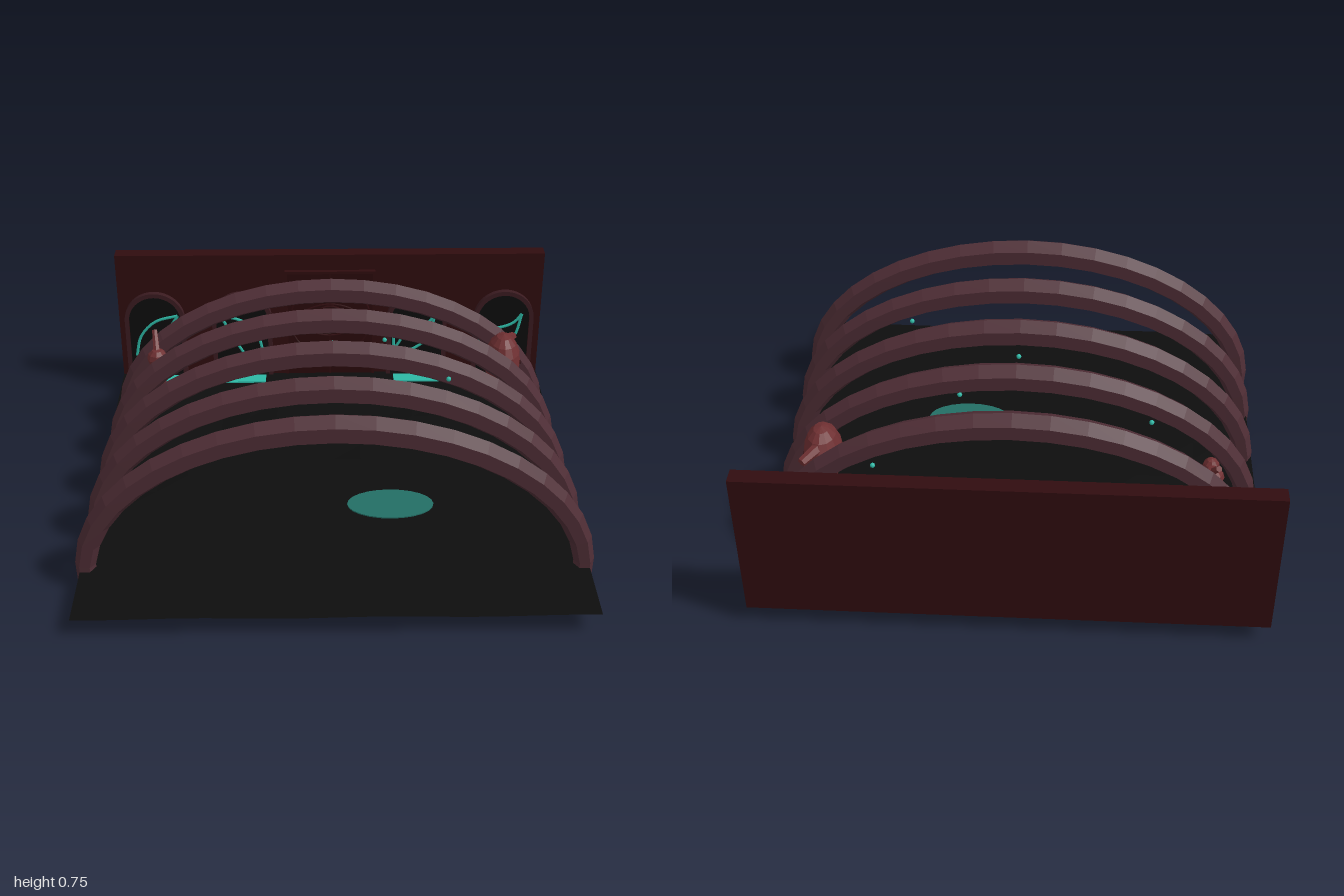
import * as THREE from 'three';

export function createModel() {
  const root = new THREE.Group();
  const mat = (name, color) => {
    const m = new THREE.MeshStandardMaterial({ color });
    m.name = name;
    return m;
  };
  const floorBlack = mat('floor black', 0x0d0d0d);
  floorBlack.side = THREE.DoubleSide;
  const wallRed = mat('wall dark red', 0x300c0f);
  const doorRed = mat('door red', 0x2a090b);
  const boneMauve = mat('rib mauve', 0x4e2d35);
  const frameRed = mat('frame brown', 0x3a1b20);
  const flesh = mat('flesh red', 0x6e2f31);
  const teal = mat('glow teal', 0x2db8a5);
  const pool = mat('pool teal', 0x236e65);

  const add = (name, geo, material, x = 0, y = 0, z = 0, parent = root) => {
    const mesh = new THREE.Mesh(geo, material);
    mesh.name = name;
    mesh.position.set(x, y, z);
    parent.add(mesh);
    return mesh;
  };
  // faceted normals
  const facet = (geo) => {
    const g = geo.index ? geo.toNonIndexed() : geo;
    g.computeVertexNormals();
    return g;
  };
  const v = (x, y, z = 0) => new THREE.Vector3(x, y, z);
  const tube = (pts, r, seg = 12) =>
    new THREE.TubeGeometry(new THREE.CatmullRomCurve3(pts), seg, r, 5);
  // round limb between two points
  const limb = (name, a, b, r0, r1, material, parent) => {
    const d = b.clone().sub(a);
    const m = add(name, facet(new THREE.CylinderGeometry(r1, r0, d.length(), 6)), material, 0, 0, 0, parent);
    m.position.copy(a).addScaledVector(d, 0.5);
    m.quaternion.setFromUnitVectors(v(0, 1), d.normalize());
  };

  // slightly uneven floor sheet
  const floorGeo = new THREE.PlaneGeometry(1.94, 1.87, 16, 16).rotateX(-Math.PI / 2);
  const fp = floorGeo.attributes.position;
  for (let i = 0; i < fp.count; i++)
    fp.setY(i, 0.003 * Math.sin(fp.getX(i) * 9) * Math.cos(fp.getZ(i) * 7));
  add('floor', facet(floorGeo), floorBlack, 0, 0.075, 0);

  // back wall
  add('backWall', new THREE.BoxGeometry(1.94, 0.615, 0.065), wallRed, 0, 0.373, -0.907);

  // ribs: six-sided bars bent along half ellipses
  const ribGeo = (s) => {
    const g = new THREE.CylinderGeometry(1, 1, 1, 6, 22).rotateY(Math.PI / 2);
    const p = g.attributes.position;
    for (let i = 0; i < p.count; i++) {
      const a = -0.08 + (p.getY(i) + 0.5) * (Math.PI + 0.16);
      const c = Math.cos(a), sn = Math.sin(a);
      const n = new THREE.Vector2(c / 0.945, sn / 0.635).normalize();
      const r = 0.037 + 0.022 * Math.pow(Math.max(0, sn), 0.8);
      const k = p.getX(i) * r;
      p.setXYZ(i, (0.952 * c + n.x * k) * s, 0.051 + (0.635 * sn + n.y * k) * s, p.getZ(i) * r);
    }
    return facet(g);
  };
  for (let i = 0; i < 5; i++)
    add('rib' + (i + 1), ribGeo(1 - i * 0.0095), boneMauve, 0, 0, 0.62 - i * 0.2925);

  // central door with an incised eye
  const door = new THREE.Group();
  door.name = 'door';
  door.position.set(0, 0, -0.87);
  root.add(door);
  add('doorPanel', new THREE.BoxGeometry(0.4, 0.52, 0.02), doorRed, 0, 0.34, 0, door);
  for (const s of [-1, 1])
    add('doorPost', new THREE.BoxGeometry(0.012, 0.52, 0.03), wallRed, s * 0.2, 0.34, 0, door);
  add('doorLintel', new THREE.BoxGeometry(0.41, 0.012, 0.03), wallRed, 0, 0.6, 0, door);
  add('doorSeam', new THREE.BoxGeometry(0.006, 0.52, 0.006), wallRed, 0, 0.34, 0.011, door);
  add('eyeRing', new THREE.TorusGeometry(0.185, 0.005, 5, 32), wallRed, 0, 0.36, 0.011, door);
  add('eyeIris', new THREE.TorusGeometry(0.07, 0.005, 5, 24), wallRed, 0, 0.36, 0.011, door);
  for (const s of [-1, 1])
    add('eyeLid', tube([v(-0.18, 0.36), v(-0.09, 0.36 + s * 0.06), v(0, 0.36 + s * 0.08),
      v(0.09, 0.36 + s * 0.06), v(0.18, 0.36)], 0.005, 16), wallRed, 0, 0, 0.011, door);

  // arched niches
  const arch = (shape, w, top) => {
    shape.moveTo(-w, 0.08);
    shape.lineTo(-w, top);
    shape.absarc(0, top, w, Math.PI, 0, true);
    shape.lineTo(w, 0.08);
    shape.closePath();
    return shape;
  };
  const frameShape = arch(new THREE.Shape(), 0.138, 0.365);
  frameShape.holes.push(arch(new THREE.Path(), 0.118, 0.365));
  const frameGeo = new THREE.ExtrudeGeometry(frameShape, { depth: 0.025, bevelEnabled: false, curveSegments: 14 });
  const paneGeo = new THREE.ShapeGeometry(arch(new THREE.Shape(), 0.12, 0.365), 14);

  // glowing signs, as line paths around each niche centre
  const leafSign = [
    [v(-0.105, 0.31), v(-0.01, 0.315), v(0.05, 0.34), v(0.085, 0.385)],
    [v(-0.105, 0.2), v(-0.04, 0.195), v(0.05, 0.26), v(0.085, 0.385)],
    [v(-0.105, 0.31), v(-0.105, 0.2)],
    [v(-0.075, 0.31), v(-0.07, 0.265), v(-0.105, 0.2)],
  ];
  const bandSign = [
    [v(-0.105, 0.385), v(0, 0.355), v(0.07, 0.28), v(0.095, 0.18)],
    [v(-0.105, 0.265), v(-0.04, 0.25), v(0.01, 0.18)],
    [v(-0.105, 0.385), v(-0.075, 0.33), v(-0.105, 0.265)],
    [v(0.01, 0.18), v(0.095, 0.18)],
  ];
  const niches = [[-0.805, bandSign, -1], [-0.405, bandSign, 1], [0.4, leafSign, 1], [0.8, leafSign, 1]];
  for (const [x, sign, dir] of niches) {
    const niche = new THREE.Group();
    niche.name = 'niche';
    niche.position.set(x, 0, -0.872);
    root.add(niche);
    add('nicheFrame', frameGeo, frameRed, 0, 0, 0, niche);
    add('nichePane', paneGeo, floorBlack, 0, 0, 0.004, niche);
    for (const path of sign)
      add('glowLine', tube(path.map((p) => v(p.x * dir, p.y)), 0.007), teal, 0, 0, 0.01, niche);
    add('glowMat', new THREE.BoxGeometry(0.21, 0.006, 0.066), teal, 0, 0.08, 0.064, niche);
  }

  // pool on the floor
  const puddle = add('pool', new THREE.CylinderGeometry(1, 1, 0.005, 24), pool, 0.23, 0.081, 0.225);
  puddle.scale.set(0.175, 1, 0.1);

  // floating motes
  for (const [x, y, z] of [[0.515, 0.503, -0.615], [-0.52, 0.545, -0.357], [0, 0.65, -0.1],
    [0.45, 0.625, 0.16], [0.22, 0.575, -0.26]])
    add('mote', new THREE.SphereGeometry(0.01, 8, 6), teal, x, y, z);

  // pod hanging among the ribs on the left side
  const pod = new THREE.Group();
  pod.name = 'pod';
  root.add(pod);
  const egg = add('podBody', facet(new THREE.SphereGeometry(1, 12, 8)), flesh, 0.74, 0.39, -0.41, pod);
  egg.scale.set(0.077, 0.128, 0.102);
  add('podSlit', new THREE.BoxGeometry(0.006, 0.008, 0.05), doorRed, 0.814, 0.39, -0.41, pod);
  limb('podStalk', v(0.74, 0.46, -0.46), v(0.8, 0.44, -0.54), 0.025, 0.018, flesh, pod);

  // clinging creature on the right side
  const creature = new THREE.Group();
  creature.name = 'creature';
  root.add(creature);
  for (const [x, y, z, rx, ry, rz] of [[-0.757, 0.31, -0.41, 0.04, 0.065, 0.05],
    [-0.757, 0.38, -0.47, 0.045, 0.045, 0.045], [-0.76, 0.34, -0.36, 0.035, 0.04, 0.035]])
    add('creatureBody', facet(new THREE.SphereGeometry(1, 8, 6)), flesh, x, y, z, creature).scale.set(rx, ry, rz);
  limb('creatureArm', v(-0.757, 0.4, -0.46), v(-0.77, 0.48, -0.54), 0.016, 0.012, flesh, creature);
  limb('creatureArm', v(-0.757, 0.33, -0.37), v(-0.78, 0.27, -0.295), 0.016, 0.01, flesh, creature);
  for (const z of [-0.44, -0.38])
    limb('creatureLeg', v(-0.76, 0.29, z), v(-0.795, 0.18, z + 0.02), 0.018, 0.01, flesh, creature);

  return root;
}
